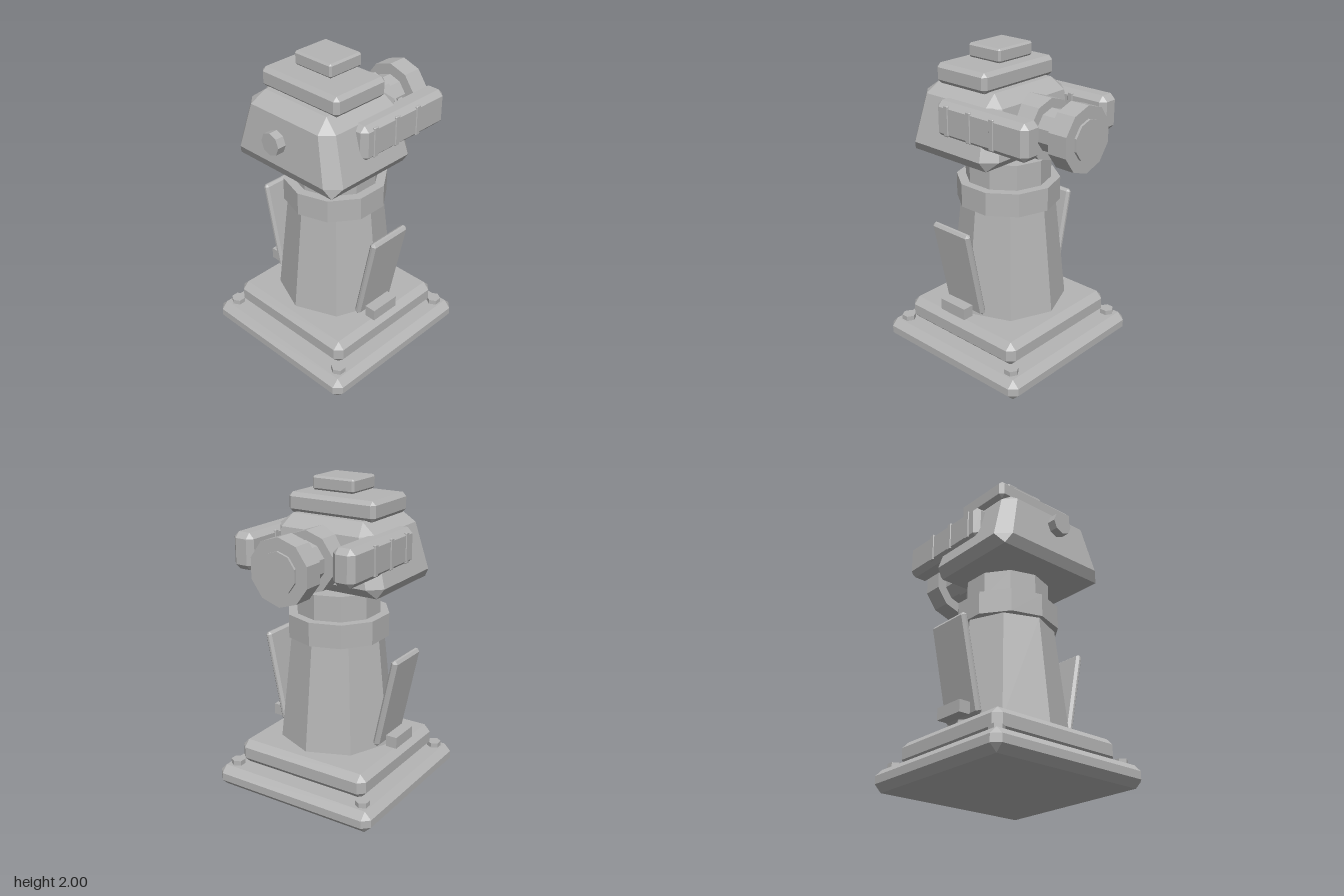
import * as THREE from 'three';

const grey = new THREE.MeshStandardMaterial({ color: 0xb4b4b4 });
grey.name = 'plain grey';

// Cut-corner rectangle at height y, counter-clockwise from above; cut 0 gives a plain rectangle
function ring(y, hx, zBack, zFront, cut) {
  return [
    [-hx + cut, zFront], [hx - cut, zFront], [hx, zFront - cut], [hx, zBack + cut],
    [hx - cut, zBack], [-hx + cut, zBack], [-hx, zBack + cut], [-hx, zFront - cut],
  ].map(([x, z]) => new THREE.Vector3(x, y, z));
}

// Faceted closed solid through a stack of rings
function loft(rings) {
  const points = [];
  const tri = (a, b, c) => {
    const area = b.clone().sub(a).cross(c.clone().sub(a)).length();
    if (area > 1e-9) points.push(a, b, c);
  };
  for (let k = 0; k < rings.length - 1; k++) {
    const lo = rings[k], hi = rings[k + 1];
    for (let i = 0; i < 8; i++) {
      const j = (i + 1) % 8;
      tri(lo[i], lo[j], hi[j]);
      tri(lo[i], hi[j], hi[i]);
    }
  }
  const bottom = rings[0], top = rings[rings.length - 1];
  for (let i = 1; i < 7; i++) {
    tri(bottom[0], bottom[i + 1], bottom[i]);
    tri(top[0], top[i], top[i + 1]);
  }
  const geometry = new THREE.BufferGeometry().setFromPoints(points);
  geometry.computeVertexNormals();
  return geometry;
}

// Box with a single chamfer on every edge
function bevelBox(w, h, d, c) {
  const x = w / 2, y = h / 2, z = d / 2;
  return loft([
    ring(-y, x - c, -z + c, z - c, 0),
    ring(-y + c, x, -z, z, c),
    ring(y - c, x, -z, z, c),
    ring(y, x - c, -z + c, z - c, 0),
  ]);
}

// Flat-sided cylinder
function prism(rTop, rBottom, h, sides) {
  const geometry = new THREE.CylinderGeometry(rTop, rBottom, h, sides).toNonIndexed();
  geometry.computeVertexNormals();
  return geometry;
}

export function createModel() {
  const model = new THREE.Group();
  model.name = 'turret';
  const add = (name, geometry, x, y, z) => {
    const mesh = new THREE.Mesh(geometry, grey);
    mesh.name = name;
    mesh.position.set(x, y, z);
    model.add(mesh);
    return mesh;
  };
  const axis = 0.03;

  // Stepped base with corner bolts
  add('basePlate', bevelBox(1.15, 0.14, 1.14, 0.045), 0, 0.07, axis);
  add('baseStep', bevelBox(0.94, 0.16, 0.91, 0.043), 0, 0.225, axis);
  for (const sx of [-1, 1]) for (const sz of [-1, 1]) {
    add('baseBolt', prism(0.046, 0.046, 0.04, 6), sx * 0.478, 0.152, axis + sz * 0.466);
  }

  // Tapered column, collar and neck
  add('column', prism(0.3, 0.375, 0.695, 8), 0, 0.6675, axis);
  add('collar', prism(0.328, 0.328, 0.15, 10), 0, 1.09, axis);
  add('neck', prism(0.27, 0.27, 0.16, 10), 0, 1.245, axis);

  // Tapered head
  add('head', loft([
    ring(1.34, 0.385, -0.15, 0.455, 0),
    ring(1.405, 0.43, -0.22, 0.486, 0.08),
    ring(1.70, 0.345, -0.18, 0.447, 0.07),
    ring(1.772, 0.25, -0.095, 0.355, 0),
  ]), 0, 0, 0);
  add('roofPlate', bevelBox(0.62, 0.125, 0.41, 0.025), 0, 1.828, 0.132);
  add('roofHatch', bevelBox(0.294, 0.086, 0.256, 0.012), 0, 1.957, 0.09);

  // Round boss on the front
  add('frontBoss', prism(0.071, 0.071, 0.056, 8), 0, 1.581, 0.527).rotation.x = Math.PI / 2;

  // Barrel at the back: [name, radius, z start, z end]
  for (const [name, r, z0, z1] of [
    ['barrelBase', 0.193, -0.316, -0.08],
    ['barrelShaft', 0.135, -0.456, -0.316],
    ['barrelRing', 0.205, -0.585, -0.456],
    ['barrelCap', 0.127, -0.6, -0.585],
  ]) {
    add(name, prism(r, r, z1 - z0, 10), 0, 1.543, (z0 + z1) / 2).rotation.x = Math.PI / 2;
  }

  // Mirrored side pods with ribs, leaning fins and their foot blocks
  for (const s of [-1, 1]) {
    add('sidePod', bevelBox(0.145, 0.227, 0.713, 0.034), s * 0.35, 1.593, -0.126);
    for (const z of [0.135, -0.046, -0.228]) for (const x of [0.418, 0.282]) {
      add('podRib', bevelBox(0.018, 0.19, 0.038, 0.005), s * x, 1.595, z);
    }
    add('sideFin', bevelBox(0.045, 0.61, 0.305, 0.016), s * 0.416, 0.648, 0.058).rotation.z = -s * 0.205;
    add('finFoot', new THREE.BoxGeometry(0.075, 0.075, 0.205), s * 0.439, 0.377, 0.069);
  }
  return model;
}
